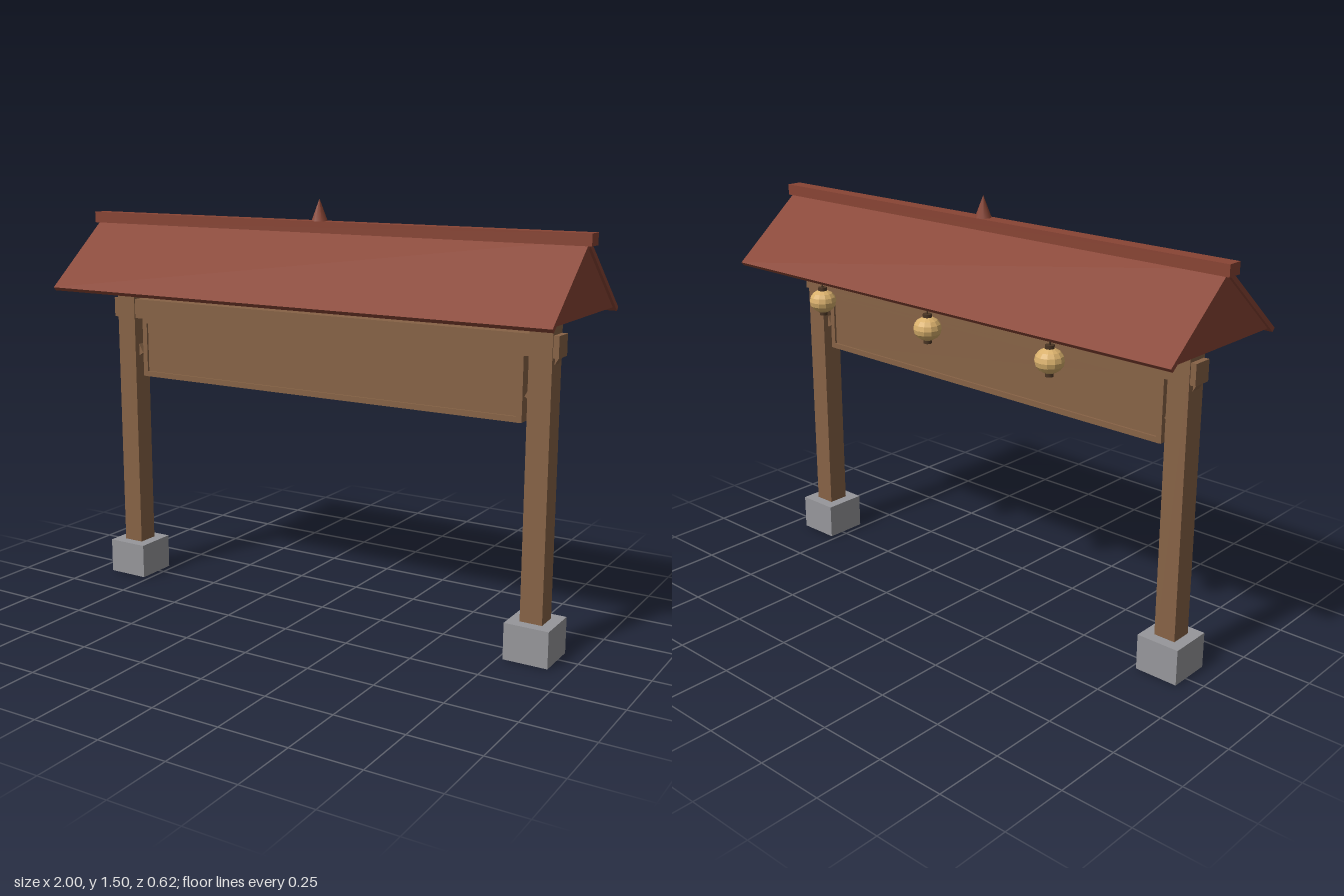
import * as THREE from 'three';

const mat = (name, color, flatShading = false) => {
  const m = new THREE.MeshStandardMaterial({ color, flatShading });
  m.name = name;
  return m;
};

export function createModel() {
  const wood = mat('brown wood', 0x876346);
  const red = mat('red roof', 0x884434);
  const stone = mat('grey stone', 0x97979b);
  const paper = mat('lantern paper', 0xd9b06c, true);
  const dark = mat('dark fittings', 0x4a3524);

  const gate = new THREE.Group();
  gate.name = 'roofedGate';
  // everything but the lanterns is centred on this depth
  const Z = 0.018;

  const add = (name, geometry, material, x, y, z) => {
    const mesh = new THREE.Mesh(geometry, material);
    mesh.name = name;
    mesh.position.set(x, y, z);
    gate.add(mesh);
    return mesh;
  };
  const box = (name, material, w, h, d, x, y, z = Z) =>
    add(name, new THREE.BoxGeometry(w, h, d), material, x, y, z);

  // posts on stone footings, with slanted braces through them
  for (const s of [-1, 1]) {
    box('footing', stone, 0.16, 0.13, 0.16, s * 0.85, 0.067);
    box('post', wood, 0.08, 1.15, 0.08, s * 0.85, 0.575);
    box('brace', wood, 0.03, 0.17, 0.036, s * 0.846, 0.96).rotation.z = -s * Math.PI / 6;
  }

  // crossbeam and the framed board below it
  box('crossbeam', wood, 1.82, 0.073, 0.072, 0, 1.067);
  box('board', wood, 1.56, 0.215, 0.03, 0, 0.919);
  for (const y of [0.815, 1.021]) box('boardRail', wood, 1.56, 0.02, 0.046, 0, y);
  for (const s of [-1, 1]) box('boardStile', wood, 0.02, 0.224, 0.046, s * 0.776, 0.918);

  // roof slopes, extruded along the ridge
  const apex = 1.406, eaveY = 1.164, half = 0.29, length = 1.97;
  const slope = Math.atan2(apex - eaveY, half), t = 0.016;
  const nx = Math.sin(slope) * t, ny = Math.cos(slope) * t;
  for (const s of [-1, 1]) {
    const shape = new THREE.Shape([
      [0, apex], [s * half, eaveY], [s * (half - nx), eaveY - ny], [0, apex - t / Math.cos(slope)],
    ].map(([x, y]) => new THREE.Vector2(x, y)));
    const geometry = new THREE.ExtrudeGeometry(shape, { depth: length, bevelEnabled: false });
    geometry.translate(0, 0, -length / 2);
    geometry.rotateY(Math.PI / 2);
    add('roofSlope', geometry, red, 0, 0, Z);
  }

  // triangular gable plates closing the ends
  const gable = new THREE.Shape([
    new THREE.Vector2(-0.27, 1.165), new THREE.Vector2(0.27, 1.165), new THREE.Vector2(0, 1.39),
  ]);
  const gableGeometry = new THREE.ExtrudeGeometry(gable, { depth: 0.02, bevelEnabled: false });
  gableGeometry.translate(0, 0, -0.01);
  gableGeometry.rotateY(Math.PI / 2);
  for (const s of [-1, 1]) add('gable', gableGeometry, red, s * 0.965, 0, Z);

  // ridge beam and pointed finial
  box('ridgeBeam', red, 2, 0.04, 0.056, 0, 1.408);
  add('finial', new THREE.ConeGeometry(0.029, 0.077, 8), red, 0, 1.4665, Z);

  // lanterns hanging from the back eave
  const globe = new THREE.SphereGeometry(0.049, 12, 8);
  globe.scale(1, 0.86, 1);
  for (const x of [-0.53, 0, 0.53]) {
    const z = -0.262;
    add('lantern', globe, paper, x, 1.092, z);
    add('lanternTopCap', new THREE.CylinderGeometry(0.016, 0.016, 0.014, 10), dark, x, 1.136, z);
    add('lanternBottomCap', new THREE.CylinderGeometry(0.014, 0.014, 0.014, 10), dark, x, 1.047, z);
    add('lanternCord', new THREE.CylinderGeometry(0.003, 0.003, 0.03, 6), dark, x, 1.155, z);
  }
  return gate;
}
